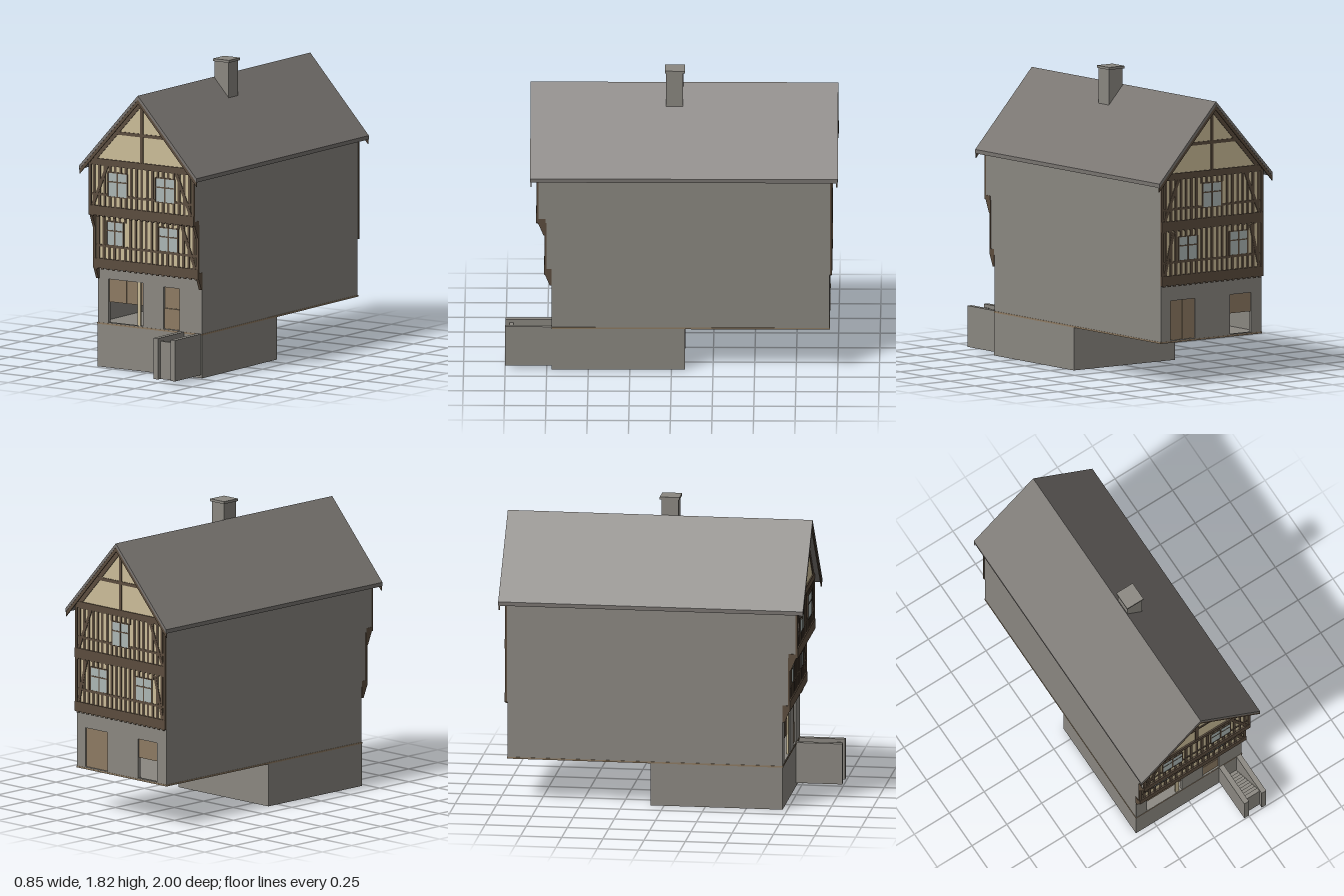
import * as THREE from 'three';

const mat = (name, color, side = THREE.FrontSide) => {
  const m = new THREE.MeshStandardMaterial({ color, side });
  m.name = name;
  return m;
};
const M = {
  stone: mat('grey render', 0x8a8780),
  roof: mat('roof grey', 0x787470),
  timber: mat('dark timber', 0x5b4c3d),
  plaster: mat('cream plaster', 0xcbbc98),
  glass: mat('pale glass', 0xabb6b4),
  wood: mat('door brown', 0x8d7a62),
};

function add(parent, name, geo, material) {
  const mesh = new THREE.Mesh(geo, material);
  mesh.name = name;
  parent.add(mesh);
  return mesh;
}

// box given by its extents on each axis
function box(parent, name, material, x0, x1, y0, y1, z0, z1) {
  const g = new THREE.BoxGeometry(x1 - x0, y1 - y0, z1 - z0);
  g.translate((x0 + x1) / 2, (y0 + y1) / 2, (z0 + z1) / 2);
  return add(parent, name, g, material);
}

// outline in x/y pulled from z0 to z1, with optional rectangular holes
function prism(parent, name, material, pts, z0, z1, holes = []) {
  const toV = (list) => list.map(([x, y]) => new THREE.Vector2(x, y));
  const s = new THREE.Shape(toV(pts));
  for (const [x0, x1, y0, y1] of holes)
    s.holes.push(new THREE.Path(toV([[x0, y0], [x0, y1], [x1, y1], [x1, y0]])));
  const g = new THREE.ExtrudeGeometry(s, { depth: z1 - z0, bevelEnabled: false });
  g.translate(0, 0, z0);
  return add(parent, name, g, material);
}

// flat timber running between two points of a facade
function beam(parent, name, ax, ay, bx, by, width, z1 = 0.01) {
  const g = new THREE.BoxGeometry(Math.hypot(bx - ax, by - ay), width, z1);
  g.rotateZ(Math.atan2(by - ay, bx - ax));
  g.translate((ax + bx) / 2, (ay + by) / 2, z1 / 2);
  return add(parent, name, g, M.timber);
}

// inverted V that follows the roof pitch
function chevron(parent, name, material, ridge, eave, thick, z0, z1) {
  const e = 0.425;
  return prism(parent, name, material, [[-e, eave], [-e, eave - thick], [0, ridge - thick],
    [e, eave - thick], [e, eave], [0, ridge]], z0, z1);
}

// one timber-framed storey on the plane z = 0
function framedStorey(y0, y1, railY, windows, braces) {
  const g = new THREE.Group();
  g.name = 'timberStorey';
  box(g, 'plasterPanel', M.plaster, -0.375, 0.375, y0, y1, 0, 0.004);
  beam(g, 'sillBeam', -0.382, y0 + 0.03, 0.382, y0 + 0.03, 0.06, 0.014);
  beam(g, 'rail', -0.37, railY, 0.37, railY, 0.014, 0.009);
  for (const s of [-1, 1]) beam(g, 'cornerPost', s * 0.373, y0, s * 0.373, y1, 0.018, 0.012);
  for (let i = -9; i <= 9; i++) {
    const x = i * 0.0385;
    const w = windows.find((v) => x > v[0] - 0.012 && x < v[1] + 0.012);
    if (w) {
      beam(g, 'stud', x, y0 + 0.05, x, w[2], 0.017, 0.008);
      if (y1 - w[3] > 0.01) beam(g, 'stud', x, w[3], x, y1, 0.017, 0.008);
    } else beam(g, 'stud', x, y0 + 0.05, x, y1, 0.017, 0.008);
  }
  for (const b of braces) beam(g, 'brace', ...b, 0.02, 0.0095);
  for (const [x0, x1, a, b] of windows) {
    const c = (x0 + x1) / 2, h = a + (b - a) * 0.62;
    box(g, 'windowPane', M.glass, x0, x1, a, b, 0.0, 0.0095);
    beam(g, 'mullion', c, a, c, b, 0.009, 0.011);
    beam(g, 'transom', x0, h, x1, h, 0.008, 0.011);
    for (const x of [x0, x1]) beam(g, 'windowJamb', x, a, x, b, 0.008, 0.011);
    for (const y of [a, b]) beam(g, 'windowEdge', x0, y, x1, y, 0.006, 0.011);
  }
  // joist ends below the sill
  for (let i = -9; i <= 9; i++)
    box(g, 'joistEnd', M.timber, i * 0.04 - 0.008, i * 0.04 + 0.008, y0 - 0.008, y0, 0, 0.01);
  return g;
}

// framed triangle below the roof on the plane z = 0
function gable() {
  const g = new THREE.Group();
  g.name = 'gable';
  prism(g, 'gablePlaster', M.plaster, [[-0.375, 1.25], [0.375, 1.25], [0.375, 1.265], [0, 1.675], [-0.375, 1.265]], 0, 0.004);
  beam(g, 'tieBeam', -0.37, 1.268, 0.37, 1.268, 0.04, 0.012);
  beam(g, 'collarBeam', -0.2, 1.455, 0.2, 1.455, 0.02, 0.009);
  beam(g, 'kingPost', 0, 1.27, 0, 1.66, 0.02, 0.01);
  for (const s of [-1, 1]) beam(g, 'gableRafter', s * 0.365, 1.262, 0, 1.66, 0.03, 0.008);
  return g;
}

export function createModel() {
  const house = new THREE.Group();
  house.name = 'timberHouse';

  // cellar and floor
  box(house, 'cellar', M.stone, -0.38, 0.38, 0, 0.262, -0.08, 0.72);
  box(house, 'floorSlab', M.wood, -0.381, 0.381, 0.26, 0.27, -0.952, 0.722);
  box(house, 'floorTop', M.stone, -0.37, 0.37, 0.27, 0.273, -0.94, 0.71);

  // hollow ground floor with openings front and back
  const wall = [[-0.378, 0.27], [0.378, 0.27], [0.378, 0.62], [-0.378, 0.62]];
  prism(house, 'groundFront', M.stone, wall, 0.7, 0.72,
    [[-0.3, -0.05, 0.275, 0.54], [0.1, 0.215, 0.275, 0.53]]);
  prism(house, 'groundBack', M.stone, wall, -0.95, -0.93,
    [[-0.3, -0.14, 0.275, 0.515], [0.12, 0.305, 0.275, 0.515]]);
  for (const s of [-1, 1])
    box(house, 'groundSide', M.stone, s > 0 ? 0.358 : -0.378, s > 0 ? 0.378 : -0.358, 0.27, 0.62, -0.94, 0.71);

  // shutters, doors and shop window post
  for (const [x0, x1] of [[-0.3, -0.176], [-0.174, -0.05]])
    box(house, 'frontShutter', M.wood, x0, x1, 0.4, 0.54, 0.7, 0.708);
  box(house, 'windowPost', M.plaster, -0.092, -0.07, 0.273, 0.54, 0.704, 0.716);
  box(house, 'frontDoorLower', M.wood, 0.1, 0.215, 0.275, 0.399, 0.7, 0.71);
  box(house, 'frontDoorUpper', M.wood, 0.1, 0.215, 0.401, 0.53, 0.7, 0.708);
  box(house, 'backShutter', M.wood, -0.3, -0.14, 0.4, 0.515, -0.942, -0.934);
  for (const [x0, x1] of [[0.12, 0.211], [0.214, 0.305]])
    box(house, 'backDoor', M.wood, x0, x1, 0.275, 0.515, -0.942, -0.934);

  // overhanging upper storeys
  box(house, 'middleStorey', M.stone, -0.379, 0.379, 0.61, 0.96, -0.953, 0.752);
  prism(house, 'upperStorey', M.stone,
    [[-0.38, 0.94], [0.38, 0.94], [0.38, 1.265], [0, 1.68], [-0.38, 1.265]], -0.953, 0.8);

  // front timbering
  const place = (part, z, back) => {
    part.position.z = z;
    if (back) part.rotation.y = Math.PI;
    house.add(part);
  };
  place(framedStorey(0.61, 0.94, 0.748, [[-0.285, -0.165, 0.755, 0.9], [0.095, 0.23, 0.755, 0.9]],
    [[0.255, 0.93, 0.355, 0.67]]), 0.752);
  place(framedStorey(0.94, 1.26, 1.07, [[-0.245, -0.105, 1.062, 1.21], [0.1, 0.24, 1.062, 1.21]],
    [[-0.25, 1.25, -0.355, 1.0], [0.25, 1.25, 0.355, 1.0]]), 0.8);
  place(gable(), 0.8);

  // back timbering
  place(framedStorey(0.61, 0.94, 0.748, [[-0.25, -0.11, 0.755, 0.9], [0.13, 0.265, 0.755, 0.9]],
    [[-0.29, 0.93, -0.355, 0.67], [0.29, 0.93, 0.355, 0.67]]), -0.952, true);
  place(framedStorey(0.94, 1.26, 1.07, [[-0.07, 0.07, 1.062, 1.21]],
    [[-0.25, 1.25, -0.355, 1.0], [0.25, 1.25, 0.355, 1.0]]), -0.952, true);
  place(gable(), -0.952, true);

  // corner brackets under the overhangs
  for (const [z, y] of [[0.72, 0.54], [0.757, 0.86]])
    for (const s of [-1, 1]) {
      const b = prism(house, 'bracket', M.timber, [[0, 0], [0.012, 0], [0.046, 0.08], [0.046, 0.105], [0, 0.105]], -0.009, 0.009);
      b.rotation.y = -Math.PI / 2;
      b.position.set(s * 0.373, y, z);
    }

  // roof and barge boards
  chevron(house, 'roof', M.roof, 1.705, 1.24, 0.024, -1, 0.85);
  chevron(house, 'frontBargeBoard', M.timber, 1.682, 1.217, 0.028, 0.84, 0.848);
  chevron(house, 'backBargeBoard', M.timber, 1.682, 1.217, 0.028, -0.998, -0.99);

  // chimney
  box(house, 'chimney', M.stone, 0.005, 0.108, 1.57, 1.805, -0.068, 0.034);
  box(house, 'chimneyCap', M.stone, -0.002, 0.115, 1.802, 1.817, -0.078, 0.042);

  // cellar steps sinking toward the house between two side walls
  box(house, 'stepWall', M.stone, 0.215, 0.248, 0.02, 0.27, 0.72, 1);
  box(house, 'stepWall', M.stone, 0.34, 0.372, 0.02, 0.27, 0.72, 1);
  for (let i = 0; i < 10; i++)
    box(house, 'step', M.stone, 0.246, 0.342, 0.02, 0.25 - i * 0.0235, 0.95 - i * 0.0255, 0.975 - i * 0.0255);

  return house;
}
